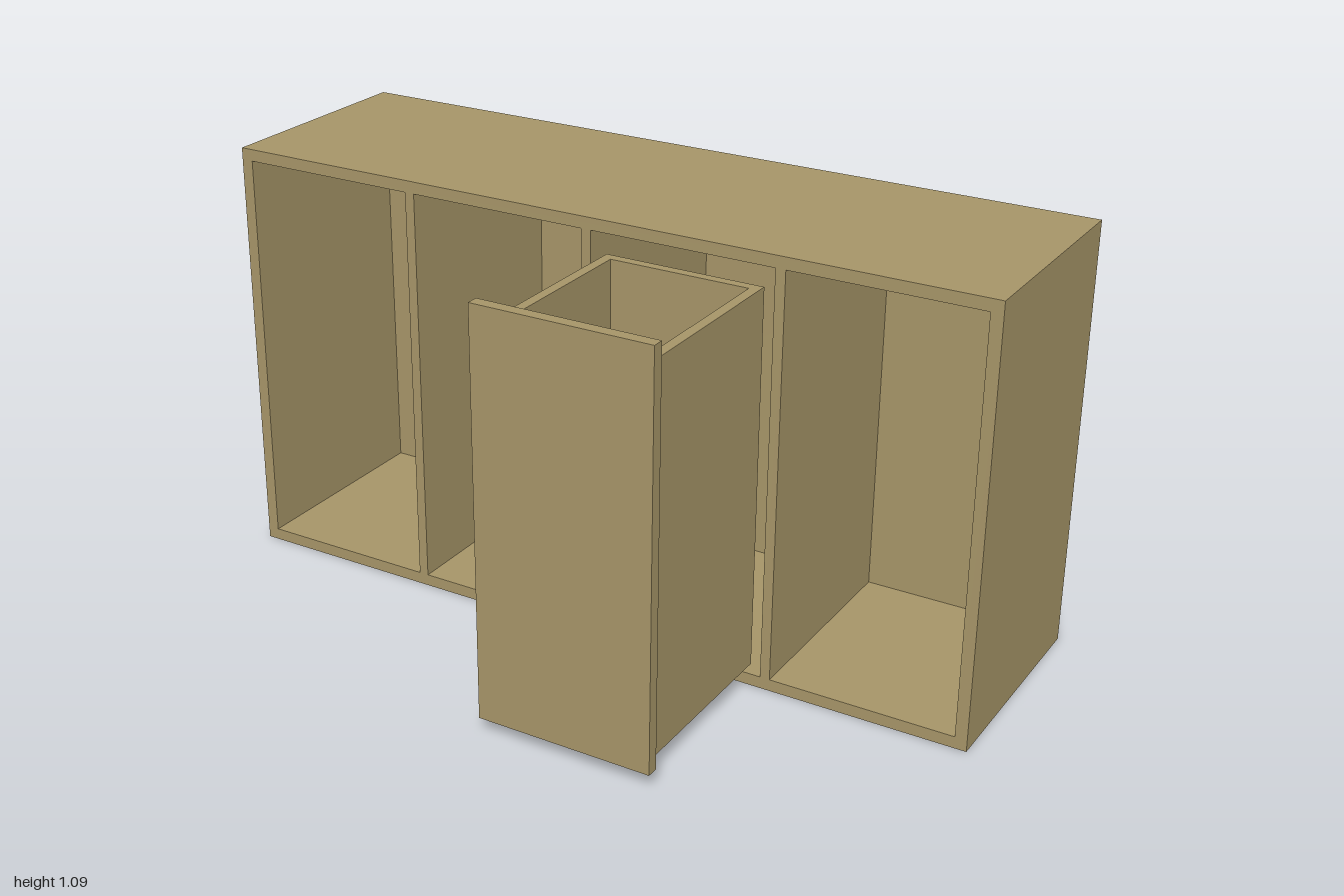
import * as THREE from 'three';

export function createModel() {
  const group = new THREE.Group();
  group.name = 'cabinet';
  const material = new THREE.MeshStandardMaterial({ color: 0xa69568 });

  // Panel given by its lower and upper limits on each axis
  function panel(parent, name, [x0, x1], [y0, y1], [z0, z1]) {
    const mesh = new THREE.Mesh(new THREE.BoxGeometry(x1 - x0, y1 - y0, z1 - z0), material);
    mesh.position.set((x0 + x1) / 2, (y0 + y1) / 2, (z0 + z1) / 2);
    mesh.name = name;
    parent.add(mesh);
  }

  // Carcass: outer shell, back and three dividers
  const carcass = new THREE.Group();
  carcass.name = 'carcass';
  group.add(carcass);
  const H = 1.085, T = 0.03, D = 0.025, back = -0.543, front = 0.042;
  const depth = [back, front], inner = [T, H - T];
  panel(carcass, 'bottomPanel', [-1, 1], [0, T], depth);
  panel(carcass, 'topPanel', [-1, 1], [H - T, H], depth);
  panel(carcass, 'rightSide', [-1, -1 + T], inner, depth);
  panel(carcass, 'leftSide', [1 - T, 1], inner, depth);
  panel(carcass, 'backPanel', [-1 + T, 1 - T], inner, [back, back + T]);
  const bay = (2 - 2 * T - 3 * D) / 4;
  for (let i = 1; i <= 3; i++) {
    const x = -1 + T + i * bay + (i - 1) * D;
    panel(carcass, 'divider' + i, [x, x + D], inner, [back + T, front]);
  }

  // Tall drawer pulled out of the third bay, open at the top
  const drawer = new THREE.Group();
  drawer.name = 'drawer';
  group.add(drawer);
  const xl = 0.043, xr = 0.444, y0 = 0.045, y1 = 0.998, zb = 0.022, zf = 0.513;
  panel(drawer, 'drawerFront', [0.021, 0.467], [0.038, 1.05], [zf, 0.543]);
  panel(drawer, 'drawerRightSide', [xl, xl + D], [y0, y1], [zb, zf]);
  panel(drawer, 'drawerLeftSide', [xr - D, xr], [y0, y1], [zb, zf]);
  panel(drawer, 'drawerBack', [xl + D, xr - D], [y0, y1], [zb, zb + D]);
  panel(drawer, 'drawerBottom', [xl + D, xr - D], [y0, y0 + D], [zb + D, zf]);

  return group;
}
